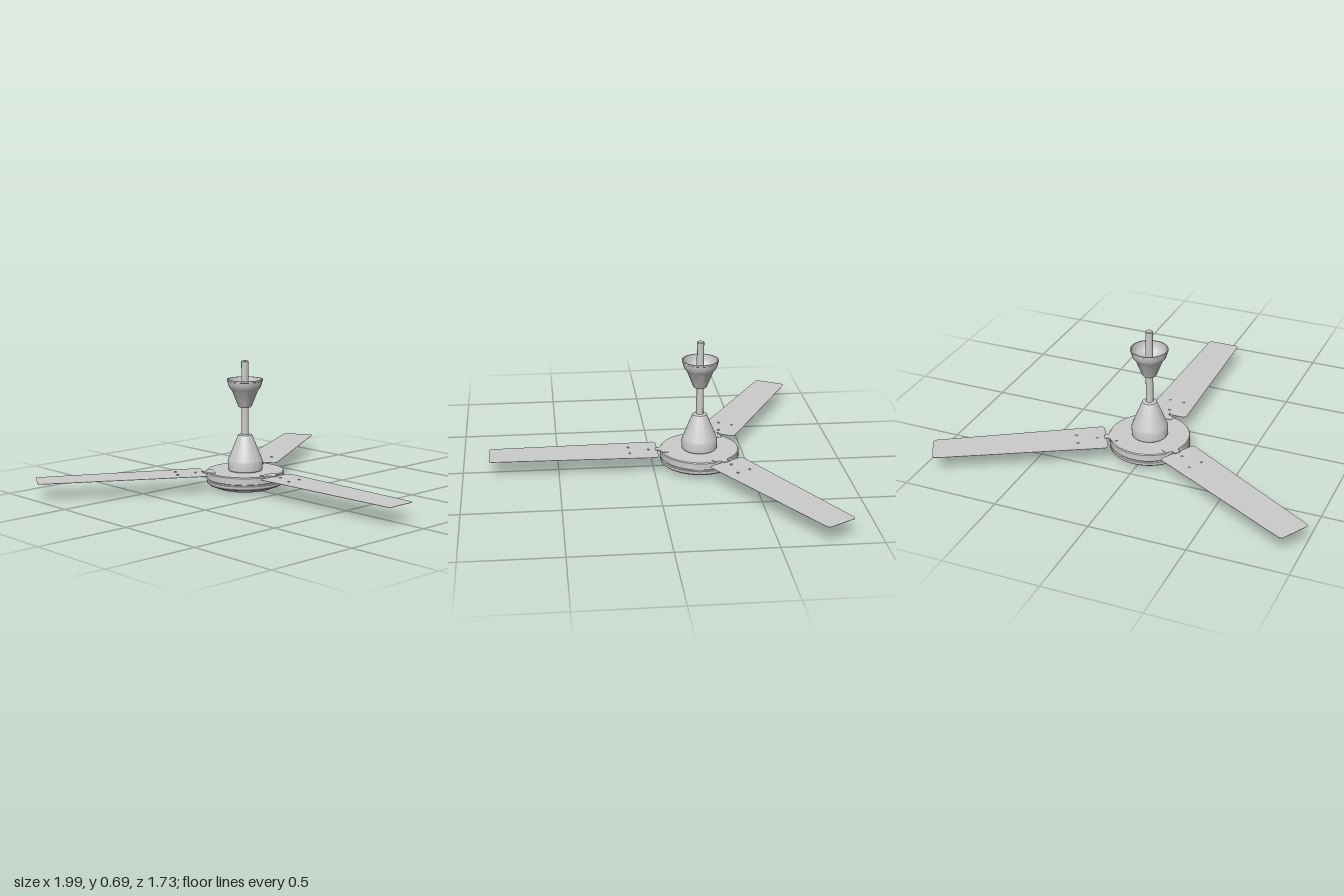
import * as THREE from 'three';
import { toCreasedNormals } from 'three/addons/utils/BufferGeometryUtils.js';

const material = new THREE.MeshStandardMaterial({ color: 0xcccccc, side: THREE.DoubleSide });
const bladeY = 0.092;

function addMesh(parent, name, geometry) {
  const mesh = new THREE.Mesh(geometry, material);
  mesh.name = name;
  parent.add(mesh);
  return mesh;
}

// Turned part from [radius, height] pairs, listed bottom to top
function turned(parent, name, profile, segments = 64) {
  const points = profile.map(([r, y]) => new THREE.Vector2(r, y));
  return addMesh(parent, name, toCreasedNormals(new THREE.LatheGeometry(points, segments), 0.5));
}

// Flat plate drawn in (across, outward) and laid horizontally, outward = +z
function plate(parent, name, shape, y, thickness) {
  const geometry = new THREE.ExtrudeGeometry(shape, { depth: thickness, bevelEnabled: false, curveSegments: 6 });
  geometry.rotateX(Math.PI / 2);
  geometry.translate(0, y, 0);
  return addMesh(parent, name, geometry);
}

// Tapered blade outline with rounded corners
function bladeShape() {
  const inner = 0.225, outer = 1.108, wi = 0.108, wo = 0.088, c = 0.022;
  const s = new THREE.Shape();
  s.moveTo(-wi + c, inner);
  s.lineTo(wi - c, inner);
  s.quadraticCurveTo(wi, inner, wi, inner + c);
  s.lineTo(wo, outer - c);
  s.quadraticCurveTo(wo, outer, wo - c, outer);
  s.lineTo(-wo + c, outer);
  s.quadraticCurveTo(-wo, outer, -wo, outer - c);
  s.lineTo(-wi, inner + c);
  s.quadraticCurveTo(-wi, inner, -wi + c, inner);
  return s;
}

// Bracket: flared at the motor, a narrow neck, then a tongue under the blade
function bracketShape() {
  const s = new THREE.Shape();
  s.moveTo(-0.05, 0.17);
  s.lineTo(0.05, 0.17);
  s.lineTo(0.05, 0.203);
  s.quadraticCurveTo(0.018, 0.205, 0.016, 0.222);
  s.lineTo(0.016, 0.235);
  s.lineTo(-0.016, 0.235);
  s.lineTo(-0.016, 0.222);
  s.quadraticCurveTo(-0.018, 0.205, -0.05, 0.203);
  s.closePath();
  return s;
}

export function createModel() {
  const model = new THREE.Group();
  model.name = 'ceilingFan';
  const fan = new THREE.Group();
  fan.name = 'fanAssembly';
  fan.position.z = -0.246;
  model.add(fan);

  // Motor housing with a dished underside and a groove round the rim
  turned(fan, 'motorHousing', [
    [0, 0], [0.135, 0], [0.15, 0.004], [0.195, 0.022], [0.205, 0.03], [0.207, 0.036],
    [0.207, 0.046], [0.201, 0.049], [0.201, 0.053], [0.208, 0.056],
    [0.208, 0.09], [0.204, 0.095], [0, 0.095],
  ], 96);

  // Bell cover above the motor
  turned(fan, 'lowerCover', [
    [0, 0.094], [0.088, 0.094], [0.093, 0.102], [0.094, 0.145], [0.091, 0.155],
    [0.042, 0.276], [0.037, 0.287], [0.03, 0.29], [0, 0.29],
  ]);

  // Down rod
  turned(fan, 'downRod', [[0, 0.28], [0.019, 0.28], [0.019, 0.682], [0.016, 0.686], [0, 0.686]], 32);

  // Ceiling cup, open at the top
  turned(fan, 'ceilingCup', [
    [0.019, 0.438], [0.033, 0.438], [0.038, 0.446], [0.069, 0.525], [0.073, 0.53],
    [0.083, 0.543], [0.09, 0.56], [0.093, 0.578], [0.096, 0.58], [0.096, 0.588], [0.09, 0.588],
    [0.087, 0.565], [0.078, 0.545], [0.066, 0.532], [0.034, 0.45], [0.019, 0.446],
  ]);

  // Three blades, each with its bracket and screws
  for (let i = 0; i < 3; i++) {
    const arm = new THREE.Group();
    arm.name = 'bladeArm';
    arm.rotation.y = (i * Math.PI * 2) / 3;
    fan.add(arm);
    plate(arm, 'blade', bladeShape(), bladeY + 0.001, 0.002);
    plate(arm, 'bladeBracket', bracketShape(), bladeY + 0.005, 0.007);
    for (const [x, z] of [[0, 0.272], [-0.038, 0.374], [0.038, 0.374]]) {
      const screw = addMesh(arm, 'bladeScrew', new THREE.CylinderGeometry(0.006, 0.008, 0.009, 16));
      screw.position.set(x, bladeY, z);
    }
  }
  return model;
}
